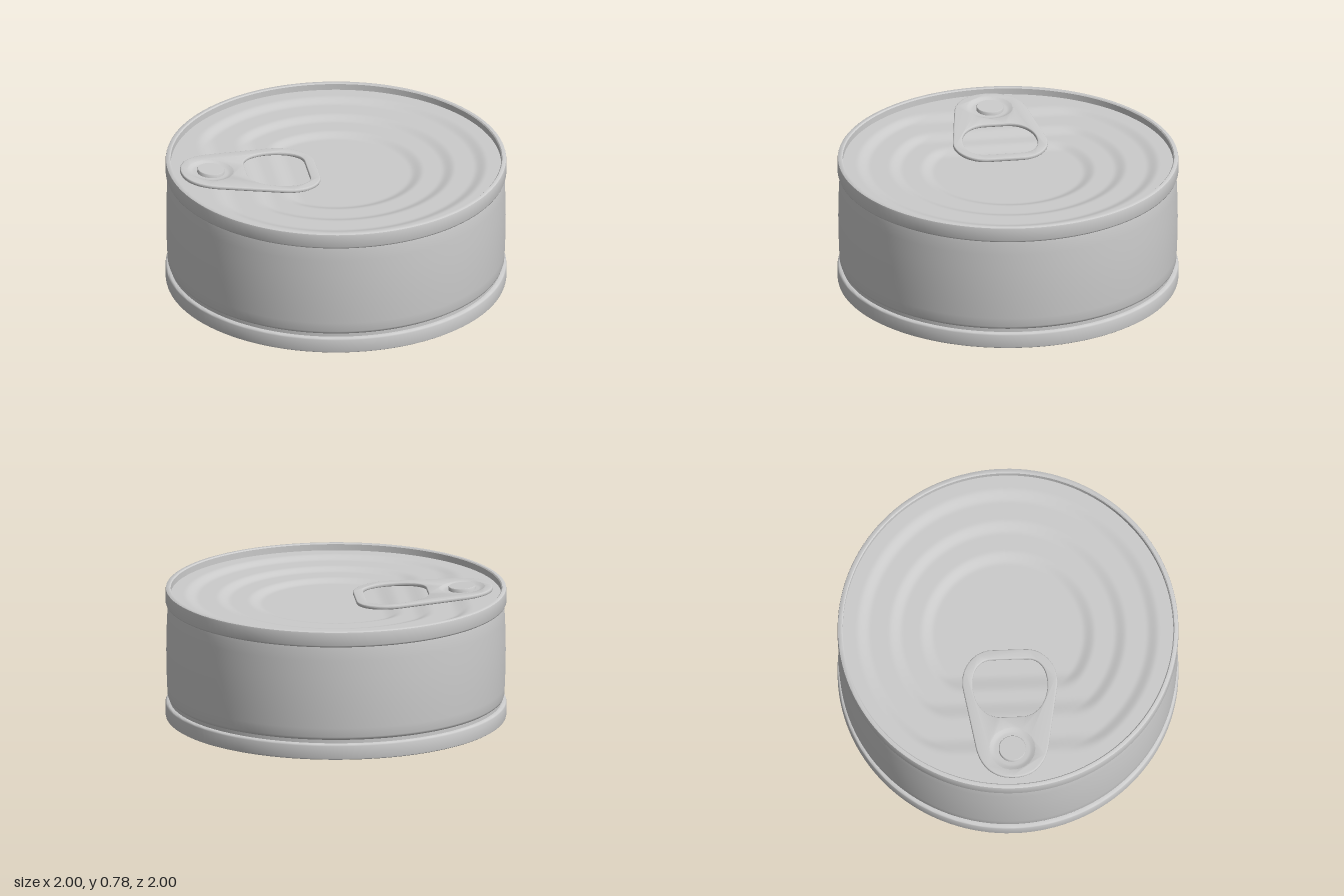
import * as THREE from 'three';
import { toCreasedNormals } from 'three/addons/utils/BufferGeometryUtils.js';

const SEGMENTS = 128;
const LID_Y = 0.735;
const RIVET_X = -0.745;
const step = THREE.MathUtils.smoothstep;

function addMesh(group, name, geometry) {
  const material = new THREE.MeshStandardMaterial({ color: 0xcccccc });
  const mesh = new THREE.Mesh(geometry, material);
  mesh.name = name;
  group.add(mesh);
}

function lathe(points, segments = SEGMENTS) {
  const profile = points.map(([r, y]) => new THREE.Vector2(r, y));
  return toCreasedNormals(new THREE.LatheGeometry(profile, segments), 0.7);
}

// Bottom panel: flat centre disc surrounded by concentric ripples
function createBase() {
  const points = [[0, 0.036]];
  for (let i = 0; i <= 48; i++) {
    const t = i / 48;
    points.push([0.53 + 0.42 * t, 0.036 + 0.011 * (1 - Math.cos(t * Math.PI * 6))]);
  }
  points.push([0.96, 0.04], [0.972, 0.05]);
  return lathe(points);
}

// Lid: D-shaped terraces sinking towards the centre
function createLid() {
  const geometry = new THREE.RingGeometry(0.001, 0.972, SEGMENTS, 90).rotateX(-Math.PI / 2);
  const position = geometry.attributes.position;
  const terraces = [[0.85, -0.71], [0.66, -0.48], [0.475, -0.31]];
  for (let i = 0; i < position.count; i++) {
    const x = position.getX(i), r = Math.hypot(x, position.getZ(i));
    let y = LID_Y;
    for (const [radius, chord] of terraces) {
      y -= 0.019 * (1 - step(r, radius - 0.04, radius + 0.04)) * step(x, chord - 0.06, chord + 0.06);
    }
    position.setY(i, y);
  }
  geometry.computeVertexNormals();
  return geometry;
}

// Pull tab: tapered plate with a finger hole and a round rivet hole
function createTab() {
  const b = 0.007;
  const shape = new THREE.Shape();
  shape.moveTo(-0.925 + b, 0);
  shape.bezierCurveTo(-0.925 + b, -0.12, -0.84, -0.195 + b, -0.72, -0.215 + b);
  shape.lineTo(-0.35, -0.277 + b);
  shape.bezierCurveTo(-0.22, -0.295 + b, -0.11 - b, -0.2, -0.11 - b, -0.1);
  shape.lineTo(-0.11 - b, 0.1);
  shape.bezierCurveTo(-0.11 - b, 0.2, -0.22, 0.295 - b, -0.35, 0.277 - b);
  shape.lineTo(-0.72, 0.215 - b);
  shape.bezierCurveTo(-0.84, 0.195 - b, -0.925 + b, 0.12, -0.925 + b, 0);

  const hole = new THREE.Path();
  hole.moveTo(-0.54 - b, -0.06);
  hole.bezierCurveTo(-0.54 - b, -0.16, -0.45, -0.22 - b, -0.33, -0.22 - b);
  hole.bezierCurveTo(-0.23, -0.22 - b, -0.17 + b, -0.18, -0.17 + b, -0.1);
  hole.lineTo(-0.17 + b, 0.1);
  hole.bezierCurveTo(-0.17 + b, 0.18, -0.23, 0.22 + b, -0.33, 0.22 + b);
  hole.bezierCurveTo(-0.45, 0.22 + b, -0.54 - b, 0.16, -0.54 - b, 0.06);
  hole.closePath();
  const rivetHole = new THREE.Path().absarc(RIVET_X, 0, 0.135, 0, Math.PI * 2);
  shape.holes.push(hole, rivetHole);

  const geometry = new THREE.ExtrudeGeometry(shape, {
    depth: 0.008, bevelThickness: b, bevelSize: b, bevelSegments: 3, curveSegments: 20,
  });
  geometry.rotateX(-Math.PI / 2).translate(-RIVET_X, b, 0);
  return toCreasedNormals(geometry, 0.7);
}

export function createModel() {
  const can = new THREE.Group();
  can.name = 'tinCan';

  // Wall with its slightly bulged side and necked ends
  addMesh(can, 'wall', lathe([
    [0.974, 0.09], [0.974, 0.116], [0.984, 0.123], [0.988, 0.135], [0.991, 0.19],
    [0.995, 0.3], [0.996, 0.4], [0.995, 0.5], [0.991, 0.6], [0.988, 0.66], [0.983, 0.69],
  ]));

  // Rolled seams, top and bottom
  const seam = [
    [0.97, 0.065], [0.97, 0.006], [0.976, 0], [0.992, 0], [0.998, 0.004], [1, 0.012],
    [1, 0.083], [0.997, 0.091], [0.99, 0.095], [0.965, 0.095],
  ];
  addMesh(can, 'bottomSeam', lathe(seam));
  addMesh(can, 'topSeam', lathe(seam.map(([r, y]) => [r, 0.778 - y]).reverse()));

  addMesh(can, 'base', createBase());
  addMesh(can, 'lid', createLid());

  // Ring pull, sloping down into the sunken lid
  const pull = new THREE.Group();
  pull.name = 'ringPull';
  pull.position.set(RIVET_X, LID_Y, 0);
  pull.rotation.z = -0.06;
  can.add(pull);
  addMesh(pull, 'tab', createTab());
  addMesh(pull, 'rivetDish', lathe([
    [0.137, 0.0222], [0.128, 0.02], [0.115, 0.012], [0.1, 0.01], [0.075, 0.01],
  ], 48));
  addMesh(pull, 'rivet', lathe([
    [0.08, -0.015], [0.08, 0.028], [0.077, 0.032], [0, 0.032],
  ], 48));

  return can;
}
